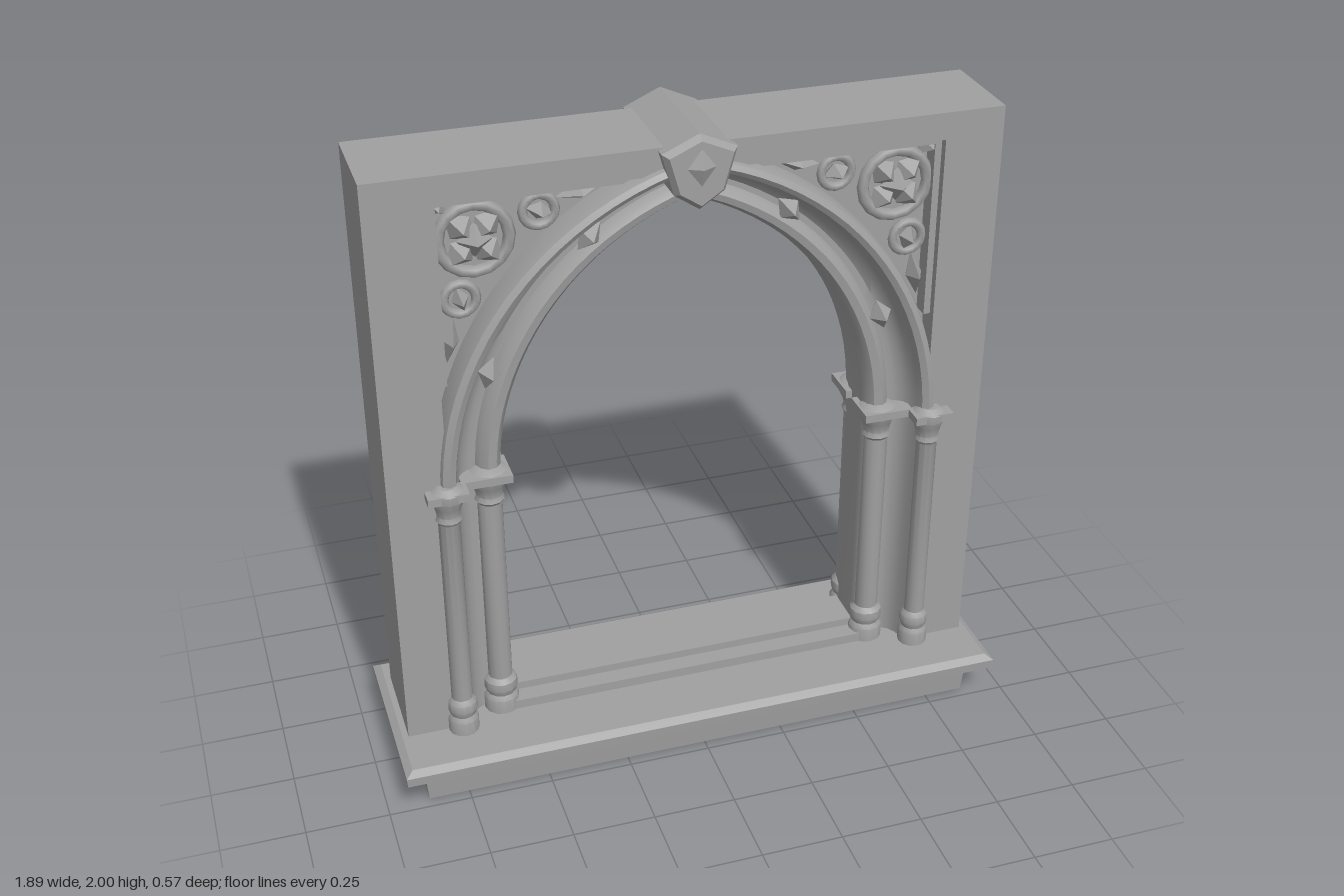
import * as THREE from 'three';
import { toCreasedNormals } from 'three/addons/utils/BufferGeometryUtils.js';

const stone = new THREE.MeshStandardMaterial({ color: 0xa0a0a0 });
stone.name = 'stone';

function add(parent, name, geometry, x = 0, y = 0, z = 0) {
  const mesh = new THREE.Mesh(geometry, stone);
  mesh.name = name;
  mesh.position.set(x, y, z);
  parent.add(mesh);
  return mesh;
}

// Pointed arch curve; u is the distance outward from the opening, t runs from springing to apex
function archPoint(u, t) {
  const w = 0.56 + u, h = 0.78 + 0.757 * u;
  const r = (w * w + h * h) / (2 * w);
  const a = t * Math.asin(h / r);
  return [w - r + r * Math.cos(a), 1 + r * Math.sin(a)];
}

// Moulding swept up one jamb, over the arch and down the other jamb
function mouldingGeometry(front) {
  const profile = [...front.map(([u, z]) => [u, -z]).reverse(), ...front];
  const n = profile.length, steps = 20;
  const path = [[1, -1]];
  for (let i = 0; i <= steps; i++) path.push([1, i / steps]);
  for (let i = steps - 1; i >= 0; i--) path.push([-1, i / steps]);
  path.push([-1, -1]);
  const pos = [], index = [];
  path.forEach(([side, t], j) => {
    for (const [u, z] of profile) {
      const [x, y] = t < 0 ? [0.56 + u, 0.15] : archPoint(u, t);
      pos.push(side * x, y, z);
    }
    if (j === 0) return;
    for (let i = 0; i < n; i++) {
      const a = (j - 1) * n + i, b = (j - 1) * n + (i + 1) % n;
      index.push(a, b, b + n, a, b + n, a + n);
    }
  });
  const g = new THREE.BufferGeometry();
  g.setAttribute('position', new THREE.Float32BufferAttribute(pos, 3));
  g.setIndex(index);
  return toCreasedNormals(g, 0.6);
}

// Plate extruded evenly about z = 0
function plate(shape, depth) {
  return new THREE.ExtrudeGeometry(shape, { depth, bevelEnabled: false }).translate(0, 0, -depth / 2);
}

// Round shaft with moulded base and capital
function columnGeometry(r) {
  const pts = [[1.45, 0.15], [1.45, 0.21], [1.2, 0.225], [1.4, 0.245], [1.35, 0.27], [1, 0.285],
    [1, 0.91], [1.2, 0.92], [1.05, 0.935], [1.25, 0.965], [1.6, 0.99], [1.6, 1.015], [0.9, 1.03], [0, 1.03]];
  const g = new THREE.LatheGeometry(pts.map(([k, y]) => new THREE.Vector2(k * r, y)), 12);
  return toCreasedNormals(g, 0.6);
}

// Moulded rectangular sill: a four-sided lathe stretched along x
function sillGeometry() {
  const pts = [[0, 0], [0.215, 0], [0.222, 0.085], [0.24, 0.1], [0.285, 0.12], [0.287, 0.15], [0.265, 0.165], [0, 0.165]];
  let g = new THREE.LatheGeometry(pts.map(([r, y]) => new THREE.Vector2(r * Math.SQRT2, y)), 4, Math.PI / 4);
  const p = g.attributes.position;
  for (let i = 0; i < p.count; i++) {
    const x = p.getX(i), z = p.getZ(i);
    // Collapsed centre points stay on the middle line
    if (Math.abs(x) + Math.abs(z) > 0.01) p.setX(i, x + Math.sign(x) * 0.658);
  }
  g = g.toNonIndexed();
  g.computeVertexNormals();
  return g;
}

// Leaf and ring carving for one face of the wall
function carvedFace() {
  const face = new THREE.Group();
  face.name = 'carvedFace';
  for (const s of [-1, 1]) {
    const side = new THREE.Group();
    side.name = s > 0 ? 'leftCarving' : 'rightCarving';
    face.add(side);
    const leaf = (name, x, y, z, len, wid, angle) => {
      const m = add(side, name, new THREE.OctahedronGeometry(1), s * x, y, z);
      m.scale.set(len, wid, 0.05);
      m.rotation.z = s * angle;
    };
    const ring = (name, x, y, r, tube) =>
      add(side, name, new THREE.TorusGeometry(r, tube, 6, 16), s * x, y, 0.1);

    // Corner rosette with four lobes
    ring('rosetteRing', 0.605, 1.748, 0.098, 0.018);
    for (let i = 0; i < 4; i++) {
      const a = Math.PI / 4 + i * Math.PI / 2;
      leaf('rosetteLobe', 0.605 + 0.05 * Math.cos(a), 1.748 + 0.05 * Math.sin(a), 0.1, 0.06, 0.04, a);
    }
    leaf('rosetteHeart', 0.605, 1.748, 0.11, 0.05, 0.05, 0);

    // Smaller rings and leaves tapering into the narrow ends
    ring('lowerRing', 0.652, 1.575, 0.045, 0.014);
    ring('upperRing', 0.425, 1.805, 0.045, 0.014);
    leaf('lowerBud', 0.652, 1.575, 0.1, 0.04, 0.025, 1.3);
    leaf('upperBud', 0.425, 1.805, 0.1, 0.04, 0.025, 0.3);
    leaf('lowerLeaf', 0.685, 1.45, 0.09, 0.07, 0.025, 1.75);
    leaf('upperLeaf', 0.31, 1.845, 0.09, 0.07, 0.025, -0.2);
    leaf('cornerLeaf', 0.7, 1.85, 0.09, 0.04, 0.025, 0.78);

    // Thin fillet around the panel
    add(side, 'panelFilletSide', new THREE.BoxGeometry(0.02, 0.55, 0.05), s * 0.718, 1.605, 0.105);
    add(side, 'panelFilletTop', new THREE.BoxGeometry(0.55, 0.02, 0.05), s * 0.45, 1.872, 0.105);

    // Foliage set in the hollow of the arch
    for (const t of [0.3, 0.72]) {
      const [x, y] = archPoint(0.09, t);
      leaf('archFoliage', x, y, 0.1, 0.05, 0.035, Math.PI / 2 + t);
    }

    // Jamb shafts and the ledge over their capitals
    add(side, 'innerColumn', columnGeometry(0.037), s * 0.6, 0, 0.08);
    add(side, 'outerColumn', columnGeometry(0.032), s * 0.735, 0, 0.155);
    add(side, 'innerLedge', new THREE.BoxGeometry(0.15, 0.025, 0.12), s * 0.615, 1.005, 0.08);
    add(side, 'outerLedge', new THREE.BoxGeometry(0.12, 0.025, 0.07), s * 0.738, 1.005, 0.165);
  }
  return face;
}

export function createModel() {
  const model = new THREE.Group();
  model.name = 'archedWindow';
  add(model, 'sill', sillGeometry());

  const wall = new THREE.Group();
  wall.name = 'wall';
  wall.position.z = -0.04;
  model.add(wall);

  // Square surround, open at the bottom
  const surround = new THREE.Shape([[-0.905, 0.15], [-0.73, 0.15], [-0.73, 1.88], [0.73, 1.88], [0.73, 0.15],
    [0.905, 0.15], [0.905, 1.96], [-0.905, 1.96]].map(([x, y]) => new THREE.Vector2(x, y)));
  add(wall, 'surround', plate(surround, 0.3));

  // Sunk panels between the arch and the surround
  for (const s of [-1, 1]) {
    const pts = [];
    for (let i = 0; i <= 20; i++) {
      const [x, y] = archPoint(0.17, i / 20);
      if (y < 1.88) pts.push(new THREE.Vector2(s * x, y));
    }
    pts.push(new THREE.Vector2(pts[pts.length - 1].x, 1.89), new THREE.Vector2(s * 0.74, 1.89));
    add(wall, 'spandrelPanel', plate(new THREE.Shape(pts), 0.16));
  }

  // Arch and jamb moulding: inner roll, hollow, outer roll
  add(wall, 'archMoulding', mouldingGeometry([
    [0, 0.05], [0.005, 0.085], [0.02, 0.105], [0.045, 0.11], [0.065, 0.095], [0.075, 0.07],
    [0.095, 0.07], [0.118, 0.085], [0.135, 0.11], [0.143, 0.14],
    [0.15, 0.165], [0.168, 0.175], [0.187, 0.165], [0.195, 0.14], [0.195, 0.06]]));

  // Raised steps at the foot of the opening
  add(wall, 'lowerStep', new THREE.BoxGeometry(1.14, 0.04, 0.24), 0, 0.175, 0);
  add(wall, 'upperStep', new THREE.BoxGeometry(1.14, 0.06, 0.13), 0, 0.19, 0);

  // Keystone running through the wall, with bevelled faces
  const key = new THREE.Shape([[0, 1.8], [0.06, 1.84], [0.09, 1.945], [0, 1.985], [-0.09, 1.945], [-0.06, 1.84]]
    .map(([x, y]) => new THREE.Vector2(x, y)));
  add(wall, 'keystone', new THREE.ExtrudeGeometry(key,
    { depth: 0.36, bevelThickness: 0.02, bevelSize: 0.014, bevelSegments: 1 }).translate(0, 0, -0.18));
  for (const s of [-1, 1]) {
    const boss = add(wall, 'keystoneBoss', new THREE.OctahedronGeometry(1), 0, 1.91, s * 0.19);
    boss.scale.set(0.06, 0.08, 0.03);
  }

  // The same carving on both faces
  const front = carvedFace();
  const back = front.clone();
  back.rotation.y = Math.PI;
  back.name = 'carvedFaceBack';
  wall.add(front, back);
  return model;
}
